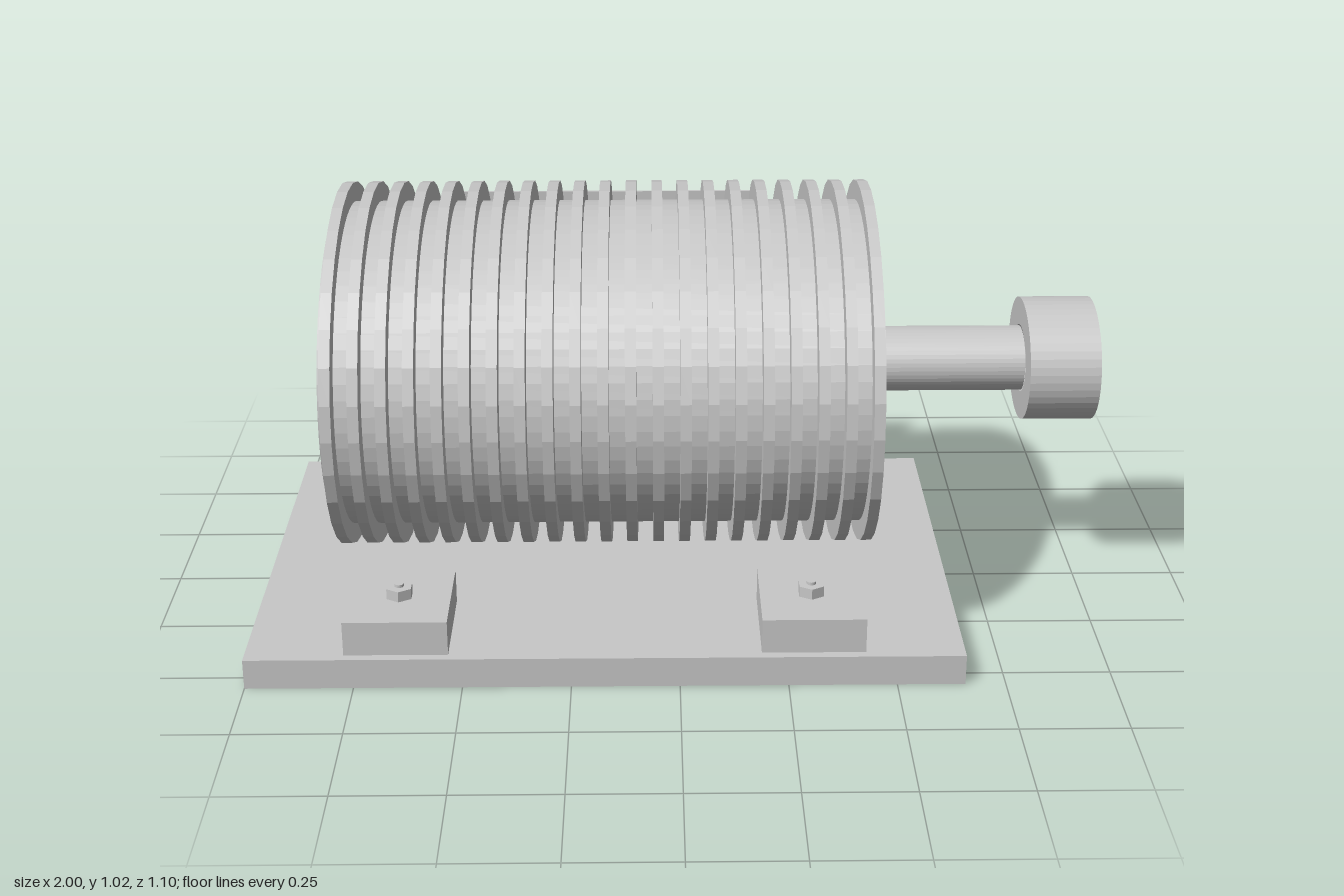
import * as THREE from 'three';

const AXIS_Y = 0.589; // height of the drum axis
const SQUASH = 0.866; // round parts are slightly flattened in height

export function createModel() {
  const model = new THREE.Group();
  model.name = 'finnedMotor';
  const metal = new THREE.MeshStandardMaterial({ color: 0xc8c8c8, flatShading: true });
  metal.name = 'light grey metal';

  function add(name, geometry, x, y, z) {
    const mesh = new THREE.Mesh(geometry, metal);
    mesh.name = name;
    mesh.position.set(x, y, z);
    model.add(mesh);
    return mesh;
  }

  // Box given by its lower and upper limits
  function box(name, x0, x1, y0, y1, z0, z1) {
    add(name, new THREE.BoxGeometry(x1 - x0, y1 - y0, z1 - z0),
      (x0 + x1) / 2, (y0 + y1) / 2, (z0 + z1) / 2);
  }

  // Flattened cylinder lying along x
  function drum(name, radius, x0, x1, sides) {
    const g = new THREE.CylinderGeometry(radius, radius, x1 - x0, sides);
    g.rotateZ(-Math.PI / 2).scale(1, SQUASH, 1);
    add(name, g, (x0 + x1) / 2, AXIS_Y, 0);
  }

  // Base plate
  box('basePlate', -1, 0.657, 0, 0.073, -0.55, 0.55);

  // Mounting pads with nut and bolt end
  for (const side of [1, -1]) {
    for (const x of [-0.652, 0.308]) {
      const z = side * 0.397;
      box('mountingPad', x - 0.12, x + 0.12, 0.073, 0.157, z - 0.131, z + 0.131);
      add('nut', new THREE.CylinderGeometry(0.033, 0.033, 0.026, 6), x, 0.17, z);
      add('boltEnd', new THREE.CylinderGeometry(0.011, 0.011, 0.033, 16), x, 0.1735, z);
    }
  }

  // Drum body and cooling fins
  drum('drumBody', 0.439, -0.809, 0.463, 64);
  for (let i = 0; i < 21; i++) {
    const x = -0.798 + i * 0.0615;
    drum('coolingFin', 0.493, x, x + 0.025, 32);
  }

  // Output shaft
  drum('shaft', 0.0885, 0.46, 0.832, 48);

  // Pulley with an open bore
  const profile = [[0.092, 0], [0.168, 0], [0.168, 0.168], [0.092, 0.168], [0.092, 0]]
    .map(([r, h]) => new THREE.Vector2(r, h));
  const pulley = new THREE.LatheGeometry(profile, 48);
  pulley.rotateZ(-Math.PI / 2).scale(1, SQUASH, 1);
  add('pulley', pulley, 0.832, AXIS_Y, 0);

  // Thin upright name plate on the back of the fins
  box('backPlate', -0.56, 0.214, 0.75, 0.88, -0.434, -0.427);

  return model;
}
